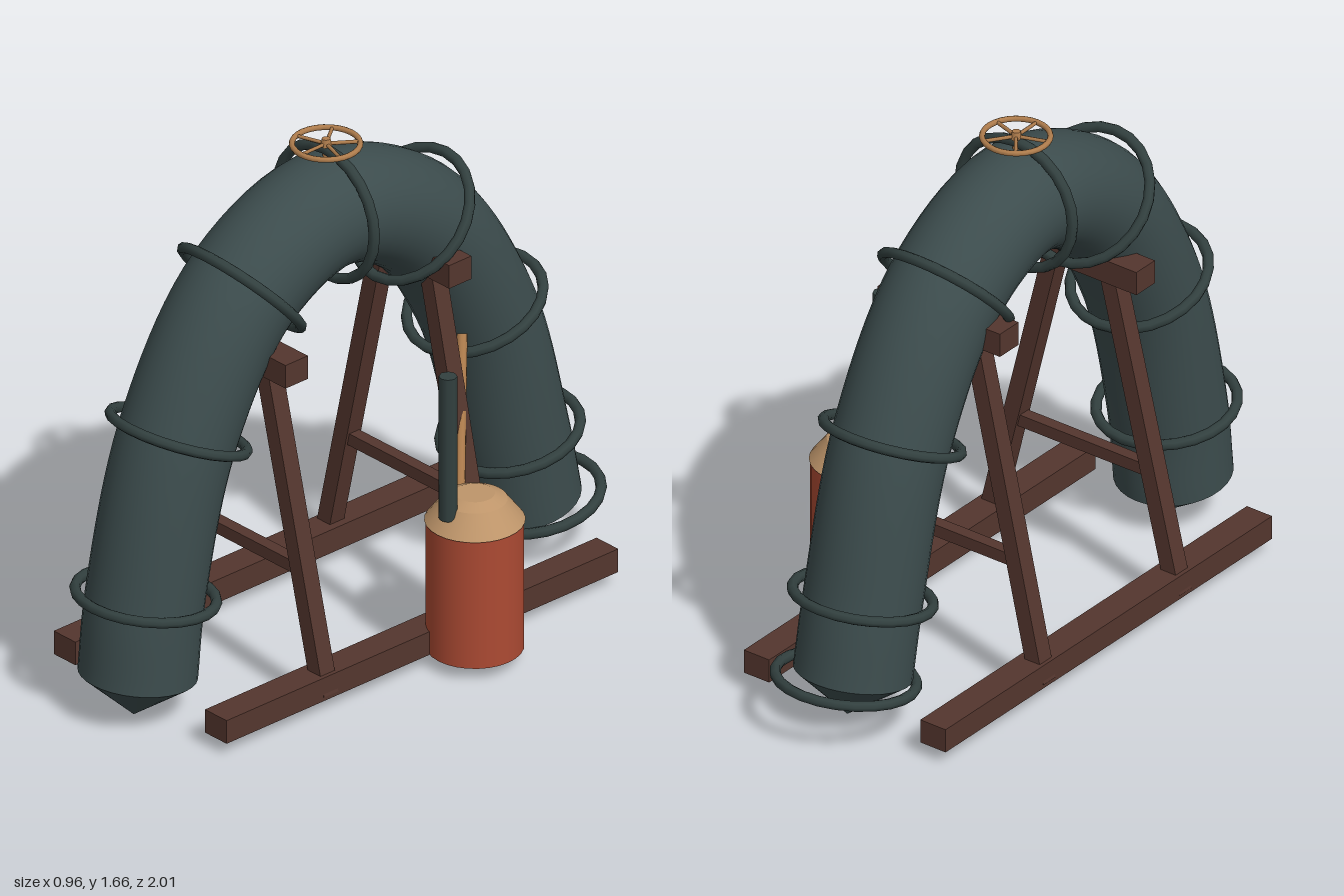
import * as THREE from 'three';

const mat = (name, color, flat = false) => {
  const m = new THREE.MeshStandardMaterial({ color });
  m.name = name;
  m.flatShading = flat;
  return m;
};

export function createModel() {
  const iron = mat('dark iron', 0x3c4c4d);
  const hoopIron = mat('hoop iron', 0x32403f);
  const wood = mat('dark wood', 0x54362e);
  const red = mat('red paint', 0xac4a33);
  const brass = mat('brass', 0xbe956a);
  const copper = mat('copper', 0xae7c4c);

  const model = new THREE.Group();
  model.name = 'archedPipe';
  const V = (x, y, z) => new THREE.Vector3(x, y, z);
  const UP = V(0, 1, 0);
  const CX = -0.095; // centre line of pipe and frame

  const add = (name, geometry, material, x = 0, y = 0, z = 0, parent = model) => {
    const mesh = new THREE.Mesh(geometry, material);
    mesh.name = name;
    mesh.position.set(x, y, z);
    parent.add(mesh);
    return mesh;
  };
  const box = (name, w, h, d, x, y, z) => add(name, new THREE.BoxGeometry(w, h, d), wood, x, y, z);
  // Places a y-aligned geometry of matching length between two points
  const between = (name, geometry, material, a, b, parent = model) => {
    const mid = a.clone().add(b).multiplyScalar(0.5);
    const mesh = add(name, geometry, material, mid.x, mid.y, mid.z, parent);
    mesh.quaternion.setFromUnitVectors(UP, b.clone().sub(a).normalize());
    return mesh;
  };

  // Main arched pipe
  const path = new THREE.CatmullRomCurve3([
    [0.80, 0.14], [0.77, 0.39], [0.635, 0.895], [0.38, 1.285], [0.04, 1.43],
    [-0.30, 1.285], [-0.56, 0.895], [-0.70, 0.41], [-0.75, 0.17],
  ].map(([z, y]) => V(CX, y, z)), false, 'centripetal');
  add('mainPipe', new THREE.TubeGeometry(path, 64, 0.18, 32), iron);

  // Conical ends, in line with the pipe
  for (const [name, t, sign] of [['frontTip', 0, -1], ['backTip', 1, 1]]) {
    const base = path.getPointAt(t);
    const tip = base.clone().addScaledVector(path.getTangentAt(t), 0.135 * sign);
    between(name, new THREE.ConeGeometry(0.18, 0.135, 32), iron, base, tip);
  }

  // Hoops, each given by its outer and inner edge as z, y
  const hoops = [
    [0.995, 0.425, 0.54, 0.36], [0.845, 0.98, 0.425, 0.81], [0.53, 1.455, 0.23, 1.12],
    [0.04, 1.64, 0.04, 1.20],
    [-0.45, 1.455, -0.15, 1.12], [-0.765, 0.98, -0.355, 0.81], [-0.925, 0.46, -0.48, 0.36],
    [-0.995, 0.20, -0.575, 0.13],
  ];
  for (const [z1, y1, z2, y2] of hoops) {
    const hoop = add('hoop', new THREE.TorusGeometry(0.212, 0.017, 8, 24), hoopIron,
      CX, (y1 + y2) / 2, (z1 + z2) / 2);
    hoop.rotation.x = Math.atan2(z2 - z1, y2 - y1);
  }

  // Handwheel on top
  const wheel = new THREE.Group();
  wheel.name = 'handwheel';
  wheel.position.set(CX, 1.65, 0.04);
  model.add(wheel);
  add('rim', new THREE.TorusGeometry(0.102, 0.009, 8, 28), copper, 0, 0, 0, wheel).rotation.x = Math.PI / 2;
  add('stem', new THREE.CylinderGeometry(0.011, 0.011, 0.07, 10), copper, 0, -0.025, 0, wheel);
  add('hub', new THREE.CylinderGeometry(0.013, 0.018, 0.025, 10), copper, 0, 0.005, 0, wheel);
  for (let i = 0; i < 5; i++) {
    const a = (i / 5) * Math.PI * 2 + 0.3;
    between('spoke', new THREE.CylinderGeometry(0.006, 0.006, 0.1, 6), copper,
      V(0, 0, 0), V(Math.cos(a) * 0.1, 0, Math.sin(a) * 0.1), wheel);
  }

  // Ground rails
  for (const s of [-1, 1]) box('rail', 0.095, 0.078, 1.58, CX + s * 0.332, 0.087, 0);

  // Trestles: two leaning legs, a tie bar and a bearing block
  for (const [z, top] of [[0.37, 1.09], [-0.29, 1.185]]) {
    box('bearingBlock', 0.46, 0.078, 0.09, CX, top, z);
    box('tieBar', 0.52, 0.04, 0.04, CX, 0.44, z);
    for (const s of [-1, 1]) {
      const foot = V(CX + s * 0.355, 0.055, z);
      const head = V(CX + s * 0.10, top, z);
      between('leg', new THREE.BoxGeometry(0.055, foot.distanceTo(head), 0.058), wood, foot, head);
    }
  }

  // Red tank with sloping brass lid
  const TX = 0.335, TZ = -0.165;
  add('tank', new THREE.CylinderGeometry(0.147, 0.147, 0.43, 28), red, TX, 0.265, TZ);
  add('tankLid', new THREE.CylinderGeometry(0.098, 0.151, 0.07, 28), brass, TX, 0.513, TZ);
  add('lidCap', new THREE.CylinderGeometry(0.06, 0.098, 0.018, 28), brass, TX, 0.557, TZ);
  add('tankPort', new THREE.CylinderGeometry(0.036, 0.036, 0.03, 16), brass, TX, 0.28, -0.31).rotation.x = Math.PI / 2;

  // Chimney and feed pipe
  add('chimney', new THREE.CylinderGeometry(0.028, 0.028, 0.48, 8), hoopIron, TX, 0.76, -0.057);
  const feedStart = V(0.22, 0.49, -0.21), feedEnd = V(0.04, 0.905, -0.385);
  between('feedPipe', new THREE.CylinderGeometry(0.016, 0.016, feedStart.distanceTo(feedEnd), 10),
    copper, feedStart, feedEnd);

  return model;
}
